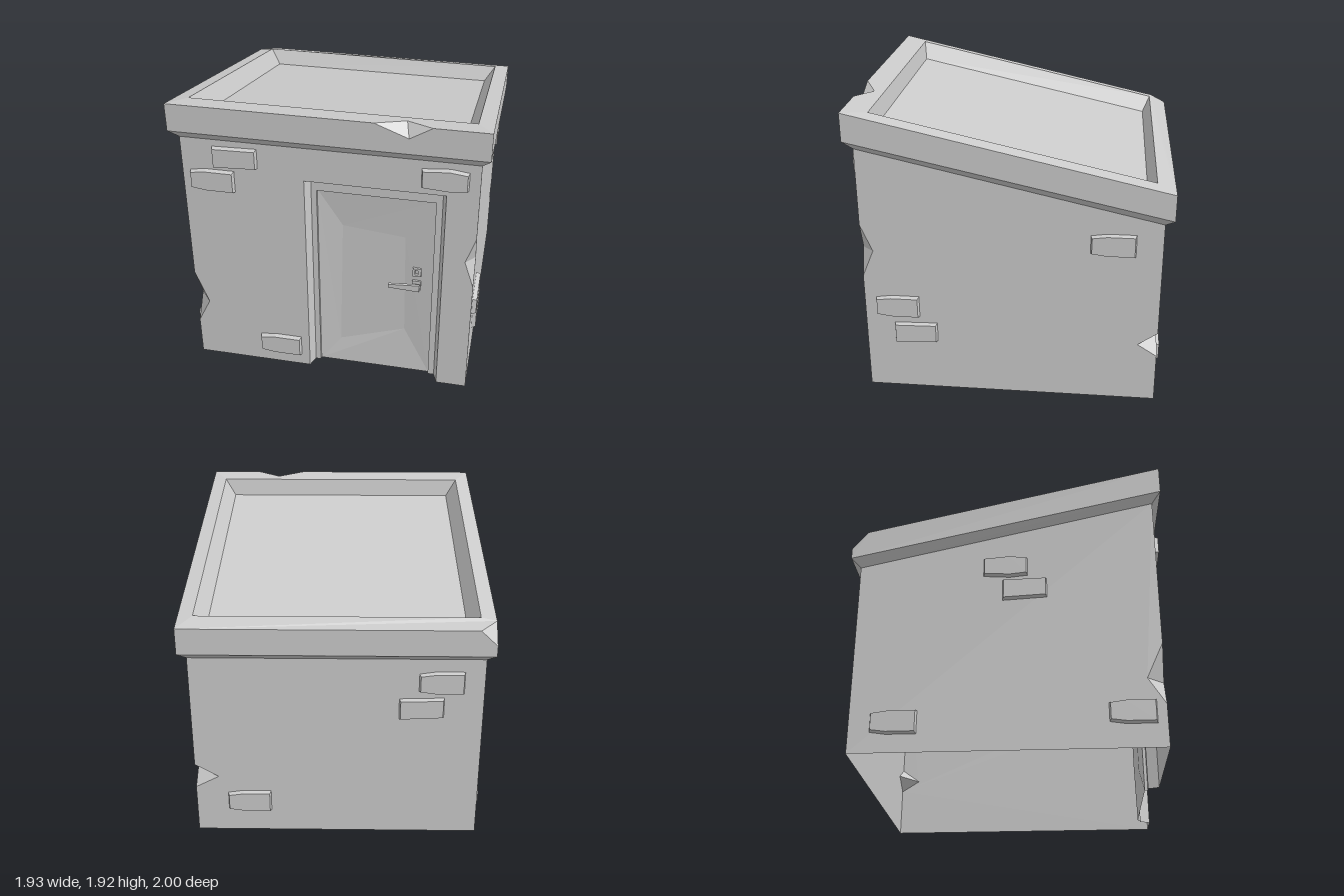
import * as THREE from 'three';
import { mergeGeometries } from 'three/addons/utils/BufferGeometryUtils.js';

const material = new THREE.MeshStandardMaterial({ color: 0xcccccc, flatShading: true, side: THREE.DoubleSide });

// Flat polygon from 3D corners, counter-clockwise seen from its front
function poly(points) {
  const p = points.map((c) => new THREE.Vector3(...c));
  const n = new THREE.Vector3();
  p.forEach((a, i) => n.add(a.clone().cross(p[(i + 1) % p.length])));
  n.normalize();
  const e1 = new THREE.Vector3(0, 1, 0);
  if (Math.abs(n.y) > 0.8) e1.set(1, 0, 0);
  e1.cross(n).normalize();
  const e2 = n.clone().cross(e1);
  const flat = p.map((v) => new THREE.Vector2(v.dot(e1), v.dot(e2)));
  const corners = THREE.ShapeUtils.triangulateShape(flat, []).flat().flatMap((i) => p[i].toArray());
  const g = new THREE.BufferGeometry();
  g.setAttribute('position', new THREE.Float32BufferAttribute(corners, 3));
  g.computeVertexNormals();
  return g;
}

// Quads joining two loops with the same number of points
function strip(a, b, closed = true) {
  const out = [];
  for (let i = 0; i < a.length - (closed ? 0 : 1); i++) {
    const j = (i + 1) % a.length;
    out.push(poly([a[i], a[j], b[j], b[i]]));
  }
  return out;
}

function part(name, geometries) {
  const mesh = new THREE.Mesh(mergeGeometries(geometries), material);
  mesh.name = name;
  return mesh;
}

const X = 0.915, Z = 0.945; // wall half sizes
const RX = 0.965; // roof half width
const under = (z) => 1.475 + 0.2225 * z;
const low = (z) => 1.5275 + 0.2175 * z;
const top = (z) => 1.7025 + 0.2225 * z;

function makeWalls() {
  const front = [[-X, 0], [-0.145, 0], [-0.145, 1.46], [0.72, 1.46], [0.72, 0], [X, 0], [X, 0.82], [0.855, 1], [X, 1.18],
    [X, under(Z)], [-X, under(Z)], [-X, 0.67], [-0.83, 0.44], [-X, 0.27]].map(([u, y]) => [u, y, Z]);
  const right = [[-Z, 0], [Z, 0], [Z, 0.33], [0.82, 0.41], [Z, 0.5], [Z, under(-Z)], [-Z, under(Z)],
    [-Z, 1.18], [-0.87, 1], [-Z, 0.82]].map(([u, y]) => [X, y, -u]);
  const back = [[-X, 0], [X, 0], [X, under(-Z)], [-X, under(-Z)], [-X, 0.5], [-0.765, 0.41], [-X, 0.33]]
    .map(([u, y]) => [-u, y, -Z]);
  const left = [[-Z, 0], [Z, 0], [Z, 0.27], [0.84, 0.44], [Z, 0.67], [Z, under(Z)], [-Z, under(-Z)]]
    .map(([u, y]) => [-X, y, u]);
  const faces = [front, right, back, left].map(poly);
  // chipped corners: sign x, sign z, bottom, middle, top, reach on x and z
  for (const [sx, sz, y0, y1, y2, px, pz] of [
    [1, 1, 0.82, 1, 1.18, 0.855, 0.87], [1, -1, 0.33, 0.41, 0.5, 0.765, 0.82], [-1, 1, 0.27, 0.44, 0.67, 0.83, 0.84],
  ]) {
    const p = [sx * px, y1, sz * Z], q = [sx * X, y1, sz * pz];
    const [a, b] = sx * sz > 0 ? [p, q] : [q, p];
    faces.push(poly([a, b, [sx * X, y2, sz * Z]]), poly([b, a, [sx * X, y0, sz * Z]]));
  }
  return part('walls', faces);
}

function makeRoof() {
  const loop = (x, z0, z1, y) => [[x, y(z1), z1], [x, y(z0), z0], [-x, y(z0), z0], [-x, y(z1), z1]];
  const base = loop(X, -Z, Z, under);
  const eave = loop(RX, -1, 1, low);
  const edge = loop(RX, -1, 1, top);
  const rim = loop(0.87, -0.885, 0.85, (z) => top(z) + 0.012);
  const floor = loop(0.8, -0.835, 0.83, (z) => top(z) - 0.1);
  // chip in the front edge
  const a = [0.29, top(1), 1], b = [0.63, top(1), 1], c = [0.495, 1.845, 1], d = [0.47, top(0.91) + 0.007, 0.91];
  // chip on the rear corner
  const e = [-RX, top(-0.9), -0.9], f = [-0.86, top(-1), -1], g = [-RX, 1.38, -1];
  return part('roof', [
    ...strip(base, eave),
    poly([eave[3], eave[0], edge[0], b, c, a, edge[3]]),
    poly([eave[0], eave[1], edge[1], edge[0]]),
    poly([eave[1], eave[2], g, f, edge[1]]),
    poly([eave[2], eave[3], edge[3], e, g]),
    poly([edge[3], a, d, b, edge[0], rim[0], rim[3]]),
    poly([edge[0], edge[1], rim[1], rim[0]]),
    poly([edge[1], f, e, rim[2], rim[1]]),
    poly([e, edge[3], rim[3], rim[2]]),
    poly([a, c, d]), poly([c, b, d]), poly([e, f, g]),
    ...strip(rim, floor), poly(floor),
  ]);
}

function makeDoor() {
  const door = new THREE.Group();
  door.name = 'door';
  const arch = (x0, x1, y, z) => [[x1, 0, z], [x1, y, z], [x0, y, z], [x0, 0, z]];
  const inner = arch(-0.085, 0.655, 1.36, 0.875);
  const edge = arch(-0.085, 0.655, 1.36, 0.855);
  const bevel = arch(-0.12, 0.695, 1.43, 0.875);
  door.add(part('doorFrame', [
    ...strip(arch(-0.145, 0.72, 1.46, Z), bevel, false),
    ...strip(bevel, inner, false),
    ...strip(inner, edge, false),
  ]));
  // dented door leaf
  const dent = [[0.48, 0.33, 0.835], [0.47, 1.06, 0.835], [0.07, 1.1, 0.835], [0.05, 0.18, 0.835]];
  door.add(part('doorLeaf', [...strip(edge, dent), poly(dent)]));

  const box = (w, h, d, x, y, z) => new THREE.BoxGeometry(w, h, d).translate(x, y, z);
  // tapered lever on its plate
  const tip = (z) => [[0.375, 0.697, z], [0.575, 0.688, z], [0.575, 0.737, z], [0.375, 0.722, z]];
  const leverBack = tip(0.872), leverFront = tip(0.89);
  door.add(part('handleLever', [...strip(leverBack, leverFront), poly(leverFront), poly([...leverBack].reverse())]));
  door.add(part('handlePlate', [box(0.055, 0.07, 0.03, 0.552, 0.713, 0.843), box(0.025, 0.025, 0.04, 0.555, 0.713, 0.865)]));
  // lock plate with its slot
  door.add(part('lockPlate', [
    box(0.015, 0.06, 0.03, 0.533, 0.815, 0.843), box(0.02, 0.06, 0.03, 0.57, 0.815, 0.843),
    box(0.02, 0.013, 0.03, 0.55, 0.838, 0.843), box(0.02, 0.013, 0.03, 0.55, 0.792, 0.843),
  ]));
  return door;
}

// Loose brick outlines in unit size
const outlines = {
  plain: [[-0.5, -0.5], [0.5, -0.4], [0.5, 0.5], [-0.5, 0.45]],
  worn: [[-0.5, -0.4], [-0.15, -0.5], [0.5, -0.5], [0.5, 0.5], [-0.15, 0.5], [-0.5, 0.4]],
  bowed: [[-0.5, -0.42], [0.1, -0.5], [0.5, -0.42], [0.5, 0.4], [0.1, 0.5], [-0.5, 0.4]],
};

function makeBricks() {
  const bricks = new THREE.Group();
  bricks.name = 'bricks';
  // quarter turn (0 front, 1 right, 2 back, 3 left), position along the wall, height, outline
  for (const [turn, u, y, kind] of [
    [0, -0.573, 1.573, 'plain'], [0, -0.725, 1.403, 'worn'], [0, 0.708, 1.57, 'bowed'], [0, -0.34, 0.16, 'worn'],
    [1, -0.73, 0.61, 'worn'], [1, -0.617, 0.42, 'plain'], [1, 0.64, 1.113, 'worn'],
    [2, 0.65, 1.105, 'worn'], [2, 0.53, 0.925, 'plain'], [2, -0.567, 0.23, 'worn'],
    [3, -0.01, 1.235, 'bowed'], [3, 0.11, 1.07, 'plain'], [3, 0.745, 0.225, 'worn'], [3, -0.675, 0.19, 'worn'],
  ]) {
    const wall = turn % 2 ? X : Z;
    const ring = (s, t, z) => outlines[kind].map(([a, b]) => [u + a * 0.28 * s, y + b * 0.148 * t, z]);
    const face = ring(0.945, 0.88, wall + 0.028);
    const brick = part('brick', [...strip(ring(1, 1, wall), face), poly(face)]);
    brick.rotation.y = turn * Math.PI / 2;
    bricks.add(brick);
  }
  return bricks;
}

export function createModel() {
  const model = new THREE.Group();
  model.name = 'smallHut';
  model.add(makeWalls(), makeRoof(), makeDoor(), makeBricks());
  return model;
}
